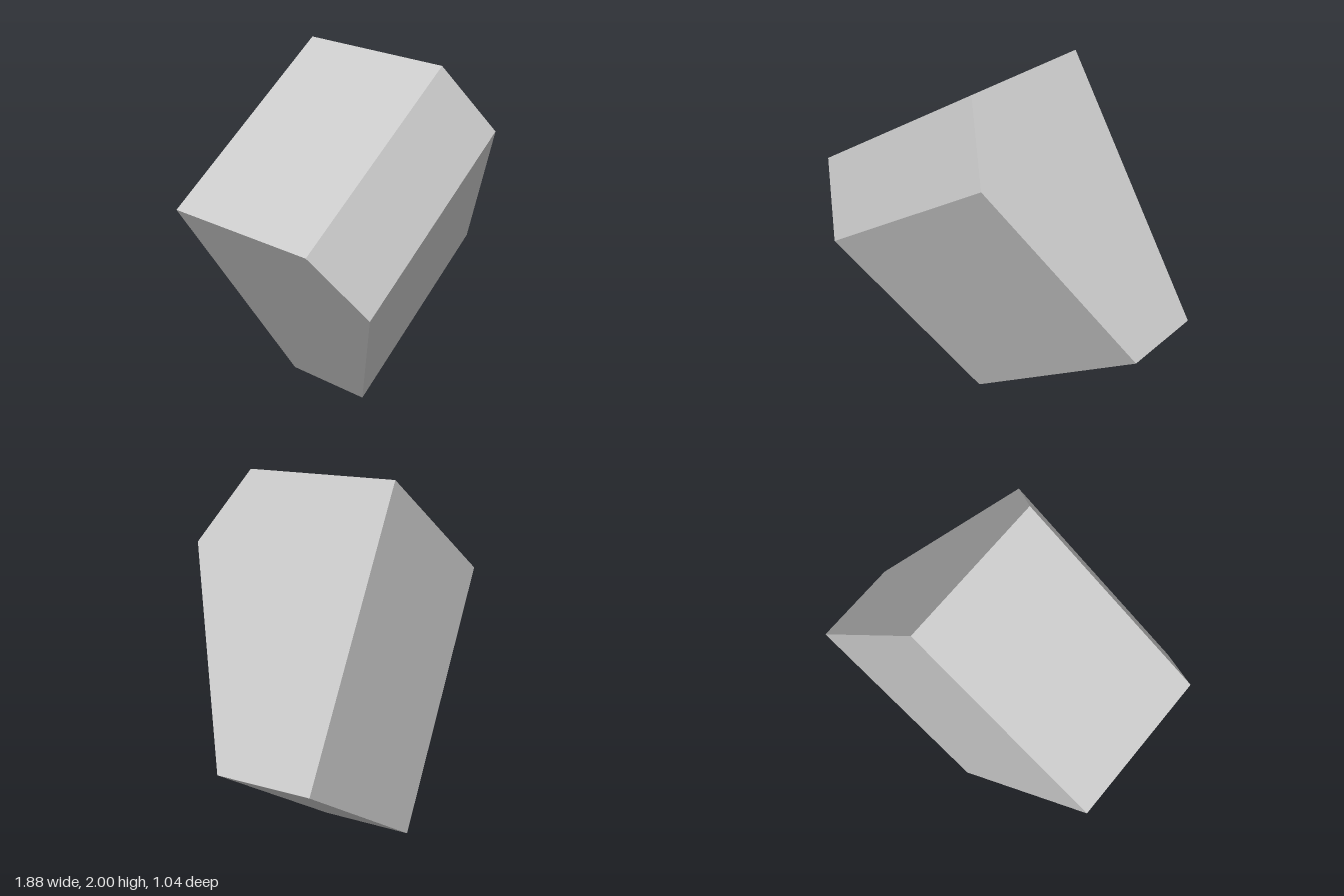
import * as THREE from 'three';

export function createModel() {
  const group = new THREE.Group();
  const width = 1.236;
  const half = 0.795;

  // Side profile as (depth, height): flat back, sloped upper and lower front
  const profile = new THREE.Shape([
    [-0.52, half], [-0.52, -half], [0, -half], [0.52, half - 0.43], [0.325, half],
  ].map(([z, y]) => new THREE.Vector2(z, y)));

  // Extrude across the width, then turn the profile to face +z
  const geometry = new THREE.ExtrudeGeometry(profile, { depth: width, bevelEnabled: false });
  geometry.translate(0, 0, -width / 2);
  geometry.rotateY(-Math.PI / 2);

  // Tilted wedge-fronted block
  const block = new THREE.Mesh(
    geometry,
    new THREE.MeshStandardMaterial({ color: 0xcccccc, flatShading: true }),
  );
  block.name = 'wedgeBlock';
  block.rotation.z = THREE.MathUtils.degToRad(30.9);
  block.position.y = 1;
  group.add(block);
  return group;
}
